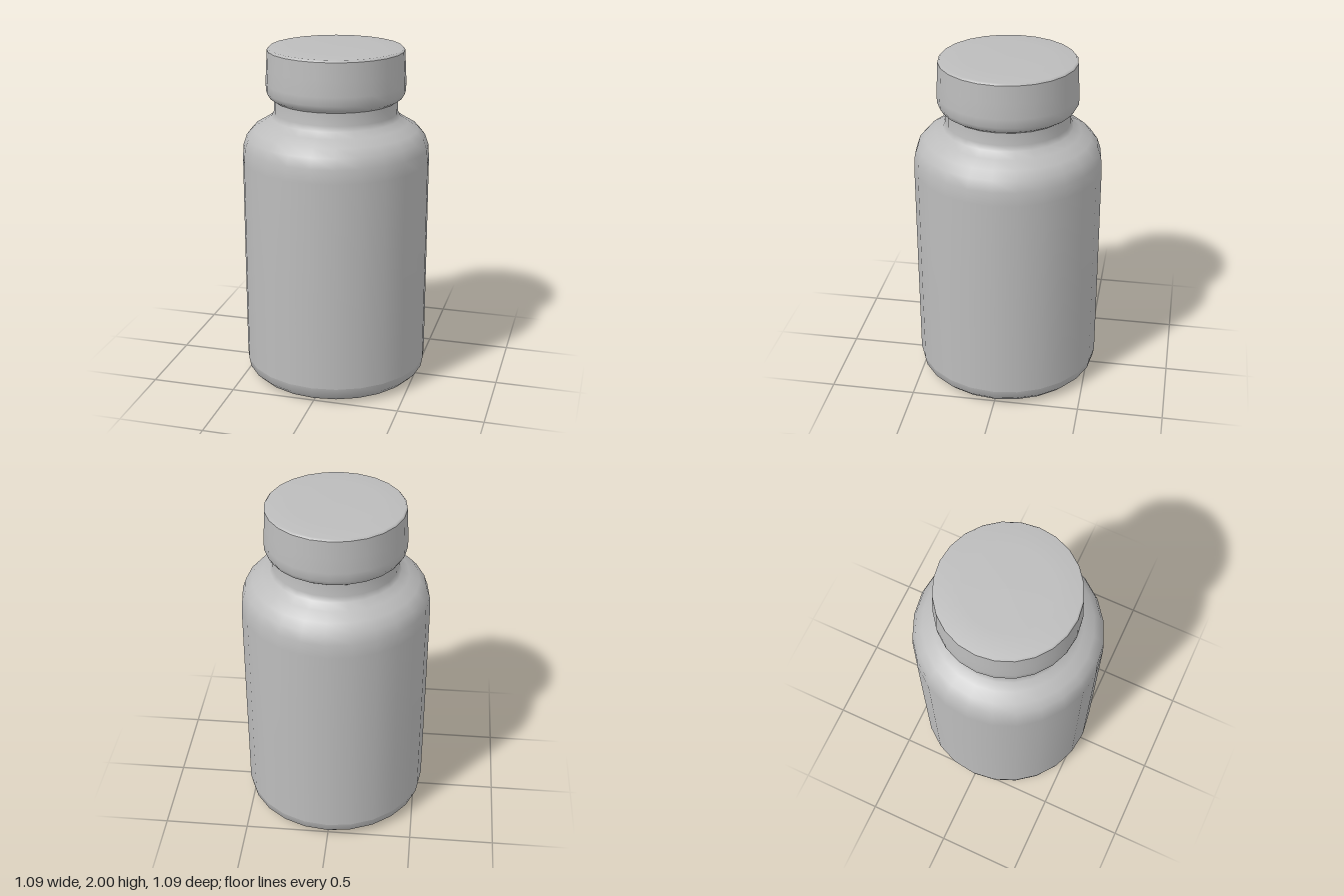
import * as THREE from 'three';

const SIDES = 24;

// Revolve a bottom-to-top profile of [radius, height] pairs
function turned(name, profile, material) {
  const points = profile.map(([r, y]) => new THREE.Vector2(r, y));
  const mesh = new THREE.Mesh(new THREE.LatheGeometry(points, SIDES), material);
  mesh.name = name;
  return mesh;
}

export function createModel() {
  const grey = new THREE.MeshStandardMaterial({ color: 0xbcbcbc });
  grey.name = 'plain grey';

  const group = new THREE.Group();
  group.name = 'jar';

  // Underside with a shallow recess and a rounded foot
  group.add(turned('base', [
    [0, 0.025], [0.3, 0.02], [0.38, 0.005], [0.45, 0], [0.5, 0.015], [0.535, 0.05], [0.545, 0.1],
  ], grey));

  // Straight wall, sloping shoulder and neck
  group.add(turned('body', [
    [0.545, 0.1], [0.546, 0.7], [0.546, 1.34], [0.54, 1.42], [0.52, 1.48], [0.48, 1.525],
    [0.42, 1.56], [0.375, 1.59], [0.36, 1.62], [0.358, 1.7],
  ], grey));

  // Cap skirt with a bevelled lower lip
  group.add(turned('capSkirt', [
    [0.355, 1.69], [0.385, 1.71], [0.403, 1.74], [0.405, 1.79], [0.4, 1.88], [0.395, 1.98],
  ], grey));

  // Nearly flat cap top
  group.add(turned('capTop', [
    [0.395, 1.98], [0.385, 1.992], [0.25, 1.997], [0, 2],
  ], grey));

  return group;
}
